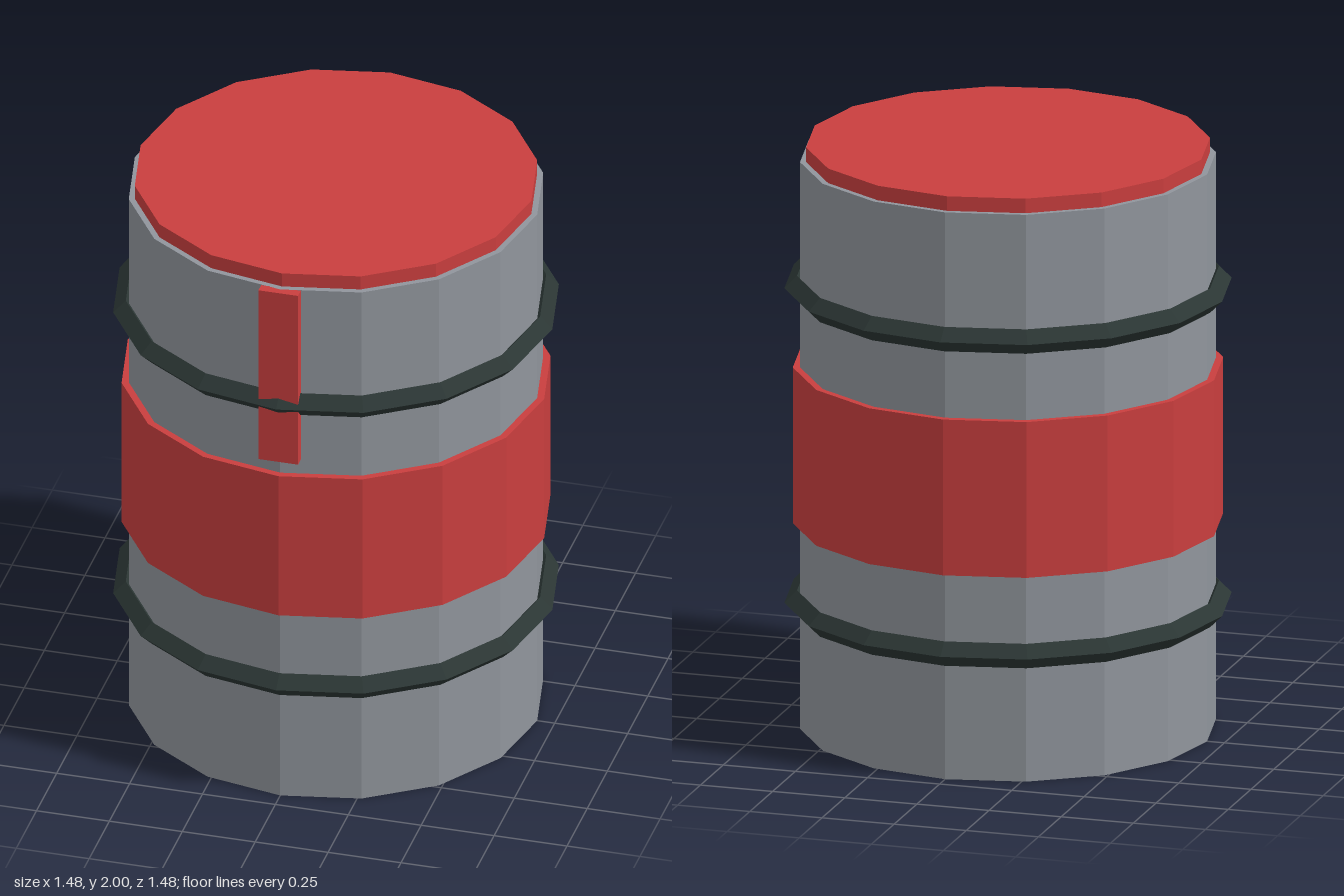
import * as THREE from 'three';

const SIDES = 16;

function paint(name, color) {
  const m = new THREE.MeshStandardMaterial({ color, flatShading: true });
  m.name = name;
  return m;
}

export function createModel() {
  const red = paint('red', 0xc93e3e);
  const grey = paint('grey', 0x90959c);
  const dark = paint('darkGreen', 0x2b3634);
  const group = new THREE.Group();
  group.name = 'barrel';

  function add(name, geometry, material, y, z = 0) {
    const mesh = new THREE.Mesh(geometry, material);
    mesh.name = name;
    mesh.position.set(0, y, z);
    group.add(mesh);
  }

  // Closed 16-sided drum section between two heights
  function drum(name, radius, y0, y1, material) {
    add(name, new THREE.CylinderGeometry(radius, radius, y1 - y0, SIDES), material, (y0 + y1) / 2);
  }

  drum('body', 0.69, 0, 1.95, grey);
  drum('lid', 0.67, 1.95, 2, red);
  drum('middleBand', 0.714, 0.708, 1.244, red);

  // Hoops with a diamond cross-section
  for (const [name, y] of [['lowerHoop', 0.435], ['upperHoop', 1.517]]) {
    add(name, new THREE.TorusGeometry(0.7, 0.042, 4, SIDES).rotateX(Math.PI / 2), dark, y);
  }

  // Upright strip on the front, passing behind the upper hoop
  add('frontStrip', new THREE.BoxGeometry(0.136, 0.65, 0.035), red, 1.625, 0.6975);

  return group;
}
